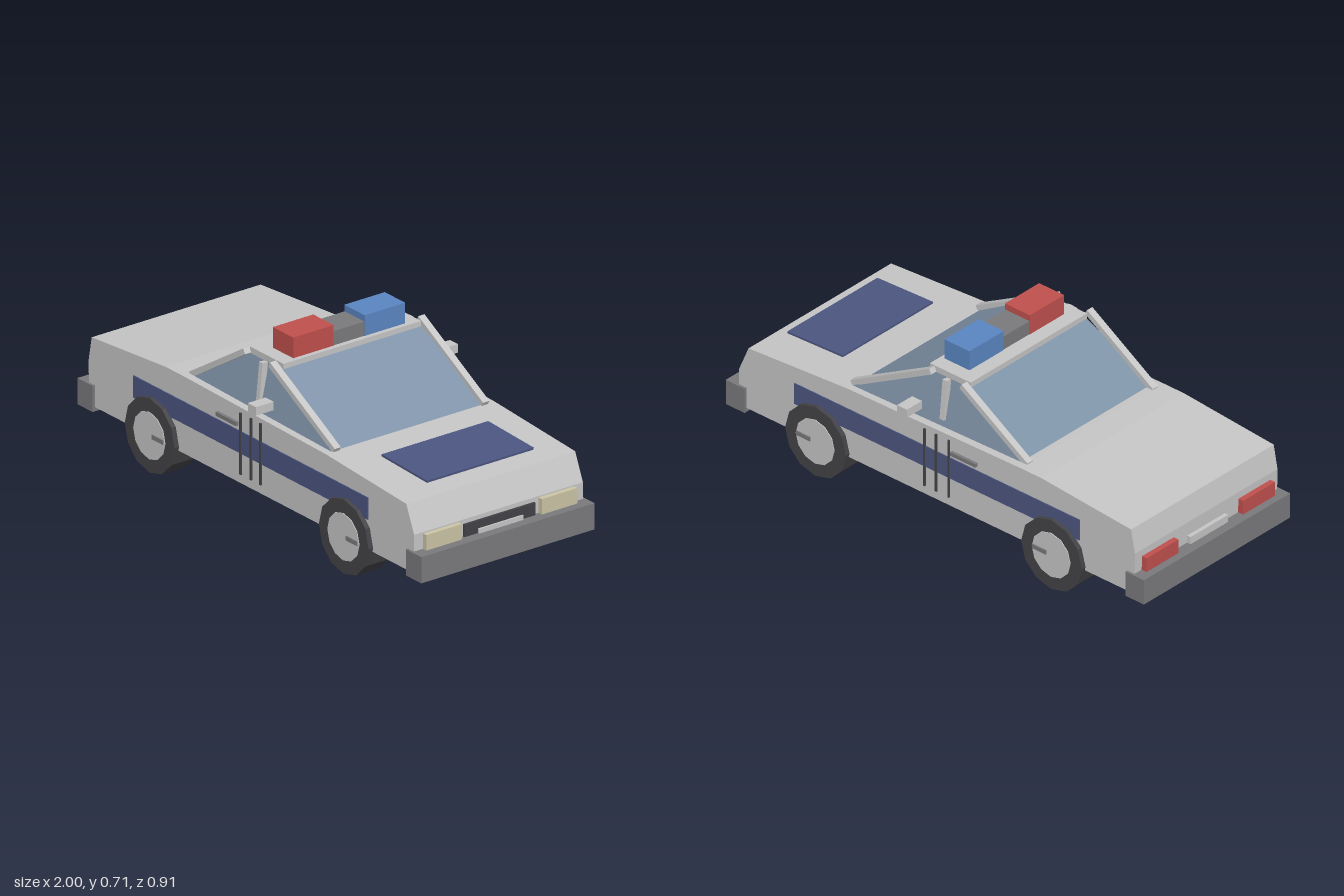
import * as THREE from 'three';

const paint = (name, color) => {
  const m = new THREE.MeshStandardMaterial({ color });
  m.name = name;
  return m;
};

export function createModel() {
  const car = new THREE.Group();
  car.name = 'patrolCar';

  const silver = paint('silver', 0xc6c6c6);
  const glass = paint('glass', 0x7f93a8);
  const navy = paint('navy', 0x4c5680);
  const grey = paint('grey', 0x7a7a7d);
  const dark = paint('dark', 0x434347);
  const red = paint('red', 0xc0504d);
  const blue = paint('blue', 0x5a86c2);
  const cream = paint('cream', 0xcbc4a6);

  const add = (name, geometry, material) => {
    const mesh = new THREE.Mesh(geometry, material);
    mesh.name = name;
    car.add(mesh);
    return mesh;
  };
  // Box given by its limits on each axis
  const box = (name, material, x0, x1, y0, y1, z0, z1) => {
    const mesh = add(name, new THREE.BoxGeometry(x1 - x0, y1 - y0, z1 - z0), material);
    mesh.position.set((x0 + x1) / 2, (y0 + y1) / 2, (z0 + z1) / 2);
    return mesh;
  };
  // Bar running between two points of the side profile
  const bar = (name, material, [xa, ya], [xb, yb], thick, z, width) => {
    const length = Math.hypot(xb - xa, yb - ya);
    const mesh = add(name, new THREE.BoxGeometry(length, thick, width), material);
    mesh.position.set((xa + xb) / 2, (ya + yb) / 2, z);
    mesh.rotation.z = Math.atan2(yb - ya, xb - xa);
    return mesh;
  };

  // Lower body, extruded from its side profile
  const profile = [[-0.945, 0.13], [0.945, 0.13], [0.945, 0.28], [0.9, 0.385],
    [0.43, 0.415], [-0.4, 0.43], [-0.5, 0.43], [-0.93, 0.395], [-0.948, 0.3]];
  const bodyShape = new THREE.Shape(profile.map(([x, y]) => new THREE.Vector2(x, y)));
  const bodyGeometry = new THREE.ExtrudeGeometry(bodyShape, { depth: 0.76, bevelEnabled: false });
  bodyGeometry.translate(0, 0, -0.38);
  add('body', bodyGeometry, silver);

  // Glass cabin: a box whose top is drawn in
  let cabin = new THREE.BoxGeometry(2, 0.205, 2);
  const p = cabin.attributes.position;
  for (let i = 0; i < p.count; i++) {
    const top = p.getY(i) > 0;
    const front = p.getX(i) > 0;
    p.setX(i, top ? (front ? 0.085 : -0.09) : (front ? 0.435 : -0.405));
    p.setZ(i, Math.sign(p.getZ(i)) * (top ? 0.308 : 0.352));
  }
  cabin = cabin.toNonIndexed();
  cabin.computeVertexNormals();
  add('windows', cabin, glass).position.y = 0.5125;

  box('roof', silver, -0.1, 0.095, 0.605, 0.63, -0.31, 0.31);

  // Light bar
  box('lightBarCentre', grey, -0.04, 0.075, 0.63, 0.685, -0.07, 0.07);
  box('redLight', red, -0.042, 0.077, 0.63, 0.71, 0.07, 0.252);
  box('blueLight', blue, -0.042, 0.077, 0.63, 0.71, -0.252, -0.07);

  // Hood panel
  bar('hoodPanel', navy, [0.575, 0.423], [0.84, 0.412], 0.008, 0, 0.48);

  // Bumpers, grille, plates
  box('frontBumper', grey, 0.91, 1, 0.113, 0.215, -0.39, 0.39);
  box('rearBumper', grey, -1, -0.912, 0.113, 0.215, -0.39, 0.39);
  box('frontLip', dark, 0.943, 0.976, 0.1, 0.115, -0.34, 0.34);
  box('grille', dark, 0.935, 0.955, 0.205, 0.263, -0.16, 0.16);
  box('frontPlate', silver, 0.95, 0.962, 0.2, 0.233, -0.1, 0.1);
  box('rearPlate', silver, -0.963, -0.945, 0.215, 0.245, -0.1, 0.1);

  // Sixteen-sided side profile parts, repeated on both flanks
  for (const s of [1, -1]) {
    const side = (name, material, x0, x1, y0, y1, z0, z1) =>
      box(name, material, x0, x1, y0, y1, Math.min(s * z0, s * z1), Math.max(s * z0, s * z1));

    // Lamps
    side('headlight', cream, 0.935, 0.965, 0.21, 0.275, 0.18, 0.34);
    side('tailLight', red, -0.97, -0.94, 0.21, 0.272, 0.172, 0.342);

    // Flank stripe, door seams and handle
    side('sideStripe', navy, -0.685, 0.68, 0.247, 0.333, 0.378, 0.384);
    for (const x of [-0.06, 0, 0.056]) side('doorSeam', dark, x - 0.004, x + 0.004, 0.165, 0.405, 0.378, 0.386);
    side('doorHandle', grey, -0.195, -0.075, 0.35, 0.365, 0.375, 0.392);

    // Mirror and window pillars
    side('mirror', silver, 0.075, 0.122, 0.477, 0.51, 0.375, 0.455);
    bar('frontPillar', silver, [0.06, 0.626], [0.437, 0.42], 0.022, s * 0.334, 0.028);
    bar('rearPillar', silver, [-0.085, 0.626], [-0.4, 0.426], 0.022, s * 0.334, 0.028);
    const post = side('middlePillar', silver, -0.01, 0.01, 0.45, 0.61, 0.322, 0.346);
    post.rotation.x = -s * 0.1;

    // Wheels: tyre, hub disc and a small hub mark
    for (const x of [-0.567, 0.562]) {
      const disc = (name, material, radius, depth, z) => {
        const g = new THREE.CylinderGeometry(radius, radius, depth, 12).toNonIndexed();
        g.rotateX(Math.PI / 2);
        g.computeVertexNormals();
        add(name, g, material).position.set(x, 0.145, s * z);
      };
      disc('tyre', dark, 0.145, 0.105, 0.3475);
      disc('hub', silver, 0.092, 0.006, 0.4);
      side('hubMark', grey, x + 0.02, x + 0.085, 0.14, 0.157, 0.4, 0.408);
    }
  }
  return car;
}
